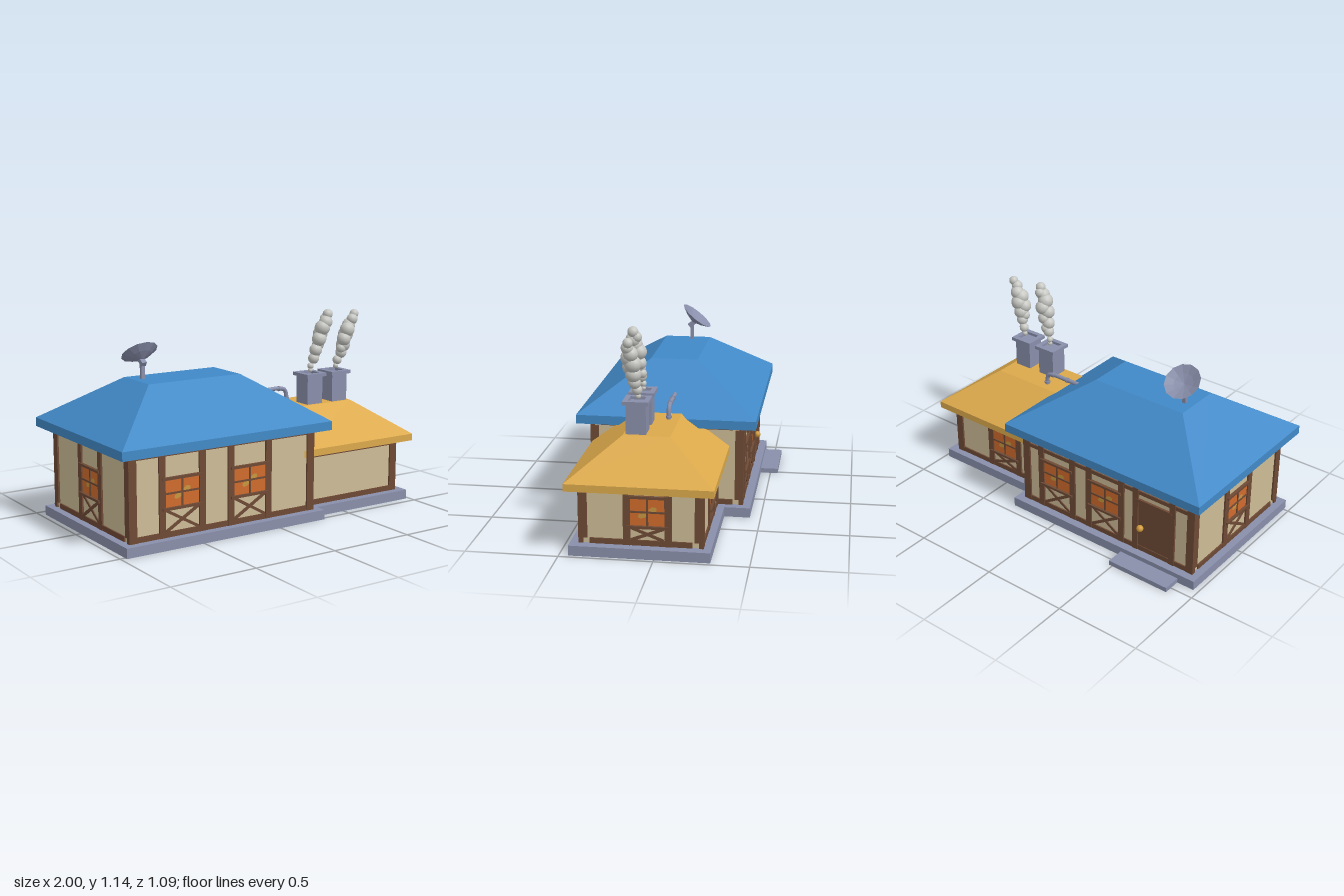
import * as THREE from 'three';

const paint = (name, color) => Object.assign(new THREE.MeshStandardMaterial({ color }), { name });
const M = {
  blue: paint('blue roof', 0x4189c7),
  yellow: paint('yellow roof', 0xdca94b),
  wall: paint('plaster', 0xcdbc96),
  wood: paint('timber', 0x6e4a35),
  stone: paint('grey stone', 0x898fab),
  glass: paint('orange glass', 0xd06b2c),
  glow: paint('window glow', 0xc8963f),
  smoke: paint('smoke', 0xc6c6c2),
  brass: paint('brass', 0xd09a3a),
};

function add(parent, geo, mat, name, x = 0, y = 0, z = 0) {
  const m = new THREE.Mesh(geo, mat);
  m.name = name;
  m.position.set(x, y, z);
  parent.add(m);
  return m;
}

// box given by its limits
const box = (p, mat, name, x0, x1, y0, y1, z0, z1) =>
  add(p, new THREE.BoxGeometry(x1 - x0, y1 - y0, z1 - z0), mat, name, (x0 + x1) / 2, (y0 + y1) / 2, (z0 + z1) / 2);

function group(parent, name, x = 0, y = 0, z = 0, ry = 0) {
  const g = new THREE.Group();
  g.name = name;
  g.position.set(x, y, z);
  g.rotation.y = ry;
  parent.add(g);
  return g;
}

// hipped roof lofted through rectangles [x0, x1, z0, z1, y]
function hipRoof(levels) {
  const loops = levels.map(([x0, x1, z0, z1, y]) => [[x0, y, z1], [x1, y, z1], [x1, y, z0], [x0, y, z0]]);
  const pos = [];
  const quad = (a, b, c, d) => pos.push(...a, ...b, ...c, ...a, ...c, ...d);
  for (let l = 0; l + 1 < loops.length; l++)
    for (let i = 0; i < 4; i++) {
      const j = (i + 1) % 4;
      quad(loops[l][i], loops[l][j], loops[l + 1][j], loops[l + 1][i]);
    }
  quad(...loops[loops.length - 1]);
  quad(...loops[0].slice().reverse());
  const g = new THREE.BufferGeometry();
  g.setAttribute('position', new THREE.Float32BufferAttribute(pos, 3));
  g.computeVertexNormals();
  return g;
}

// timber plank on a wall; u runs to the right seen from outside, wall surface at z = 0
const plank = (w, u0, u1, y0, y1, out = 0.01, name = 'plank') => box(w, M.wood, name, u0, u1, y0, y1, -0.015, out);

// window with posts, sills, muntins and a cross brace below
function windowBay(wall, u, sill, top, half = 0.095) {
  const g = group(wall, 'window', u), h = 0.15, head = sill + h, mid = sill + h / 2;
  box(g, M.glass, 'pane', -half, half, sill, head, 0, 0.003);
  [[0.028, 0.012, 0.024, 0.017], [-0.022, -0.016, 0.03, 0.016]].forEach(([x, y, a, b]) => {
    const s = new THREE.Shape();
    s.absellipse(0, 0, a, b, 0, Math.PI * 2, false, 0);
    const blot = add(g, new THREE.ShapeGeometry(s, 4), M.glow, 'glow', x, mid + y, 0.0045);
    blot.rotation.z = 0.45;
  });
  plank(g, -0.005, 0.005, sill, head, 0.008, 'muntin');
  plank(g, -half, half, mid - 0.005, mid + 0.005, 0.008, 'muntin');
  for (const s of [-1, 1]) {
    const c = s * (half + 0.019);
    plank(g, c - 0.019, c + 0.019, 0.055, top, 0.01, 'post');
    // diagonal brace
    const w = half * 2, bh = sill - 0.095;
    const brace = add(g, new THREE.BoxGeometry(Math.hypot(w, bh) - 0.01, 0.016, 0.012), M.wood, 'brace', 0, 0.083 + bh / 2, 0.001 + s * 0.001);
    brace.rotation.z = s * Math.atan2(bh, w);
  }
  plank(g, -half - 0.02, half + 0.02, sill - 0.014, sill, 0.018, 'sill');
  plank(g, -half - 0.02, half + 0.02, head, head + 0.014, 0.018, 'lintel');
}

// plaster block with its four timbered faces
function house(root, name, x0, x1, z0, z1, top) {
  const g = group(root, name), cx = (x0 + x1) / 2, cz = (z0 + z1) / 2;
  box(g, M.wall, 'walls', x0, x1, 0.05, top + 0.005, z0, z1);
  const face = (n, x, z, ry, half, side) => {
    const f = group(g, n, x, 0, z, ry), e = half + 0.01;
    for (const s of [-1, 1]) {
      const a = s * e, b = s * (e - 0.047);
      plank(f, Math.min(a, b), Math.max(a, b), side ? 0.085 : 0.055, side ? top - 0.028 : top, 0.0102, 'corner post');
    }
    const r = side ? half - 0.05 : half;
    plank(f, -r, r, 0.055, 0.085, 0.008, 'bottom beam');
    plank(f, -r, r, top - 0.025, top, 0.008, 'top beam');
    return f;
  };
  return {
    front: face('front wall', cx, z1, 0, (x1 - x0) / 2),
    back: face('back wall', cx, z0, Math.PI, (x1 - x0) / 2),
    right: face('left wall', x1, cz, Math.PI / 2, (z1 - z0) / 2, true),
    left: face('right wall', x0, cz, -Math.PI / 2, (z1 - z0) / 2, true),
    cx, cz,
  };
}

function chimney(root, x, z) {
  const g = group(root, 'chimney', x, 0, z);
  box(g, M.stone, 'stack', -0.054, 0.054, 0.55, 0.757, -0.054, 0.054);
  const sq = (r, T) => new T([[-r, -r], [r, -r], [r, r], [-r, r]].map(p => new THREE.Vector2(...p)));
  const rim = sq(0.07, THREE.Shape);
  rim.holes.push(sq(0.042, THREE.Path));
  const geo = new THREE.ExtrudeGeometry(rim, { depth: 0.02, bevelEnabled: false });
  add(g, geo.rotateX(-Math.PI / 2), M.stone, 'cap', 0, 0.753, 0);
}

export function createModel() {
  const root = new THREE.Group();
  root.name = 'house';

  // stone bases and back step
  box(root, M.stone, 'main base', -0.97, 0.305, 0, 0.055, -0.44, 0.52);
  box(root, M.stone, 'annex base', 0.3, 0.98, 0, 0.055, -0.295, 0.45);
  box(root, M.stone, 'step', -0.865, -0.48, 0, 0.028, -0.545, -0.43);

  // main house
  const main = house(root, 'main house', -0.92, 0.25, -0.385, 0.465, 0.52);
  for (const x of [-0.605, -0.175]) windowBay(main.front, x - main.cx, 0.217, 0.5, 0.105);
  windowBay(main.left, 0, 0.217, 0.5);
  const back = x => main.cx - x;
  for (const x of [0.015, -0.33]) windowBay(main.back, back(x), 0.217, 0.5);
  plank(main.back, -0.57, 0.57, 0.425, 0.448, 0.008, 'upper beam');

  // back door
  const door = group(main.back, 'door', back(-0.665));
  plank(door, -0.105, 0.105, 0.055, 0.375, 0.004, 'door leaf');
  for (const s of [-1, 1]) plank(door, s * 0.122 - 0.018, s * 0.122 + 0.018, 0.055, 0.5, 0.012, 'door post');
  plank(door, -0.12, 0.12, 0.375, 0.395, 0.014, 'door lintel');
  add(door, new THREE.SphereGeometry(0.02, 12, 8), M.brass, 'knob', -0.08, 0.215, 0.022);

  // annex
  const annex = house(root, 'annex', 0.22, 0.92, -0.245, 0.395, 0.36);
  plank(annex.front, 0.265 - annex.cx, 0.297 - annex.cx, 0.055, 0.36);
  windowBay(annex.right, -0.04 + annex.cz, 0.165, 0.345, 0.09);
  windowBay(annex.back, annex.cx - 0.54, 0.165, 0.345, 0.09);
  plank(annex.back, annex.cx - 0.297, annex.cx - 0.265, 0.055, 0.36);

  // roofs
  add(root, hipRoof([[-1, 0.33, -0.467, 0.542, 0.52], [-1, 0.33, -0.467, 0.542, 0.57], [-0.63, -0.04, -0.098, 0.173, 0.82]]), M.blue, 'main roof');
  add(root, hipRoof([[0.2, 1, -0.315, 0.465, 0.36], [0.2, 1, -0.315, 0.465, 0.4], [0.2, 0.735, -0.052, 0.2, 0.592]]), M.yellow, 'annex roof');

  chimney(root, 0.482, 0.133);
  chimney(root, 0.663, 0.133);

  // smoke puffs: x, y, z, radius
  const puffs = [
    [0.489, 0.785, 0.13, 0.014], [0.49, 0.81, 0.13, 0.019], [0.505, 0.855, 0.14, 0.033], [0.522, 0.875, 0.132, 0.028],
    [0.513, 0.905, 0.148, 0.038], [0.538, 0.935, 0.138, 0.036], [0.528, 0.97, 0.16, 0.043], [0.55, 1.0, 0.142, 0.044],
    [0.547, 1.035, 0.165, 0.046], [0.567, 1.068, 0.17, 0.04], [0.575, 1.085, 0.15, 0.03], [0.583, 1.113, 0.167, 0.03],
    [0.682, 0.793, 0.125, 0.016], [0.69, 0.828, 0.128, 0.028], [0.71, 0.872, 0.138, 0.034], [0.7, 0.9, 0.15, 0.03],
    [0.722, 0.92, 0.142, 0.043], [0.712, 0.955, 0.16, 0.042], [0.738, 0.978, 0.142, 0.046], [0.735, 1.01, 0.162, 0.045],
    [0.755, 1.035, 0.15, 0.04], [0.768, 1.07, 0.165, 0.033], [0.788, 1.1, 0.158, 0.027],
  ];
  const smoke = group(root, 'smoke');
  for (const [x, y, z, r] of puffs) add(smoke, new THREE.SphereGeometry(r, 12, 9), M.smoke, 'puff', x, y, z);

  // elbow pipe joining the two roofs
  const pipe = group(root, 'pipe', 0, 0, 0.004);
  const path = new THREE.CatmullRomCurve3([[0.15, 0.668], [0.26, 0.668], [0.36, 0.668], [0.397, 0.655], [0.408, 0.62], [0.408, 0.58]]
    .map(([x, y]) => new THREE.Vector3(x, y, 0)));
  add(pipe, new THREE.TubeGeometry(path, 24, 0.0125, 8), M.stone, 'pipe run');
  for (const x of [0.255, 0.355]) add(pipe, new THREE.CylinderGeometry(0.016, 0.016, 0.012, 8), M.stone, 'collar', x, 0.668).rotation.z = Math.PI / 2;
  add(pipe, new THREE.CylinderGeometry(0.017, 0.017, 0.012, 8), M.stone, 'collar', 0.408, 0.605);

  // satellite dish, facing up and back
  const dish = group(root, 'dish', -0.572, 0, 0.005);
  box(dish, M.stone, 'mast', -0.011, 0.011, 0.8, 0.915, -0.01, 0.01);
  add(dish, new THREE.BoxGeometry(0.03, 0.025, 0.045), M.stone, 'bracket', 0, 0.915, 0).rotation.x = 0.6;
  const profile = [[0, 0], [0.06, 0.024], [0.106, 0.05], [0.058, 0.031], [0, 0.016]].map(p => new THREE.Vector2(...p));
  const bowl = new THREE.LatheGeometry(profile, 12).toNonIndexed();
  bowl.computeVertexNormals();
  add(dish, bowl, M.stone, 'bowl', 0, 0.925, 0).rotation.x = -0.67;

  return root;
}
